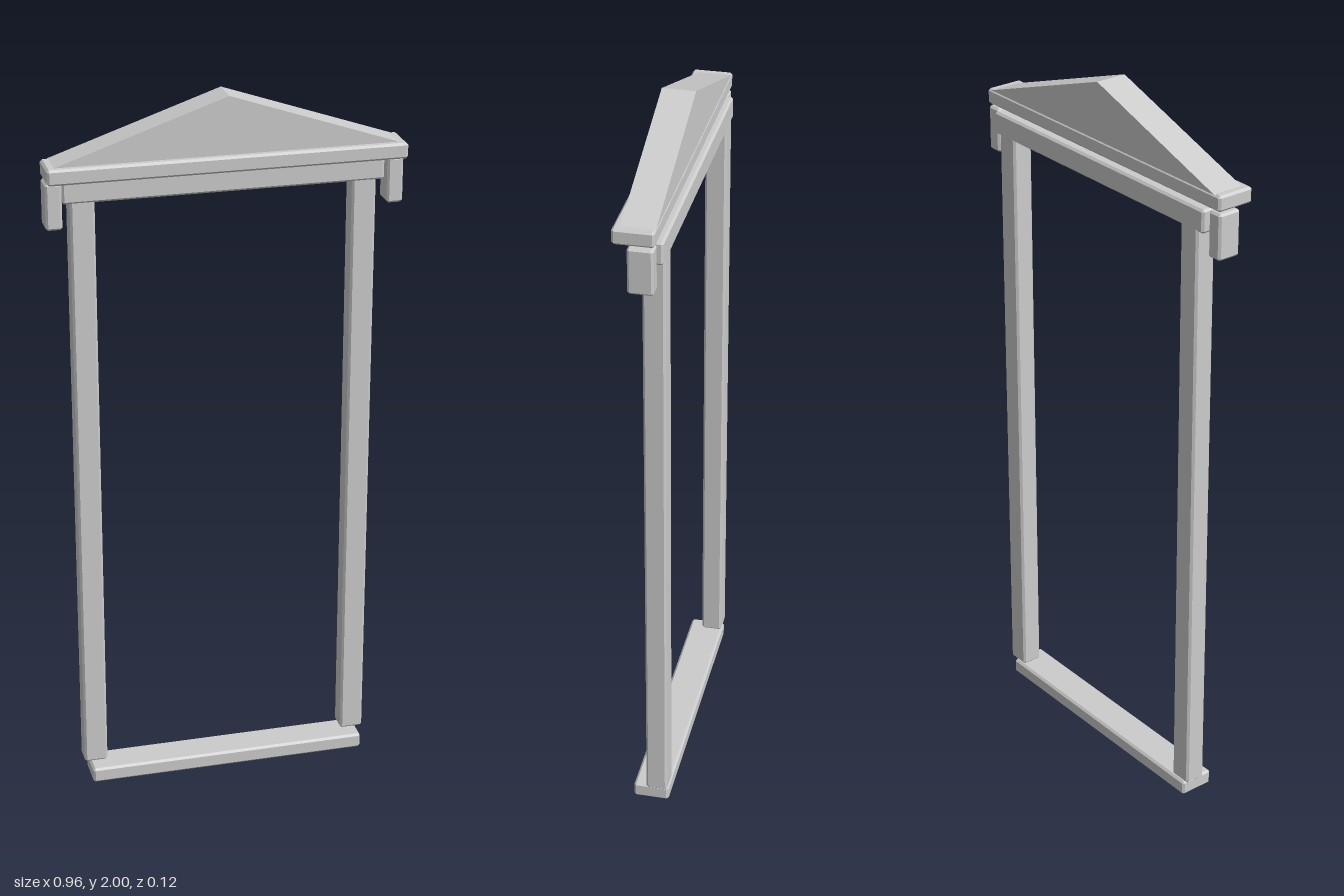
import * as THREE from 'three';
import { ConvexGeometry } from 'three/addons/geometries/ConvexGeometry.js';

const stone = new THREE.MeshStandardMaterial({ color: 0xcccccc });
stone.name = 'pale grey stone';

const CHAMFER = 0.006;

// Box with chamfered edges, given by its [min, max] range on each axis
function block(name, [x0, x1], [y0, y1], [z0, z1]) {
  const half = [(x1 - x0) / 2, (y1 - y0) / 2, (z1 - z0) / 2];
  const points = [];
  for (const sx of [-1, 1]) for (const sy of [-1, 1]) for (const sz of [-1, 1]) {
    const signs = [sx, sy, sz];
    // Each corner becomes three points, one on each adjoining face
    for (let face = 0; face < 3; face++) {
      const p = half.map((h, axis) => signs[axis] * (axis === face ? h : h - CHAMFER));
      points.push(new THREE.Vector3(...p));
    }
  }
  const mesh = new THREE.Mesh(new ConvexGeometry(points), stone);
  mesh.name = name;
  mesh.position.set((x0 + x1) / 2, (y0 + y1) / 2, (z0 + z1) / 2);
  return mesh;
}

export function createModel() {
  const group = new THREE.Group();
  group.name = 'windowFrame';

  // Horizontal members
  group.add(
    block('sill', [-0.398, 0.398], [0, 0.044], [-0.06, 0.039]),
    block('lintel', [-0.435, 0.435], [1.73, 1.794], [-0.06, 0.005]),
    block('cornice', [-0.482, 0.482], [1.8, 1.843], [-0.048, 0.06])
  );

  // Jambs, running up into the lintel, and the brackets under the cornice ends
  for (const [side, s] of [['left', 1], ['right', -1]]) {
    const span = (a, b) => (s > 0 ? [a, b] : [-b, -a]);
    group.add(
      block(side + 'Jamb', span(0.348, 0.414), [0.048, 1.76], [-0.0595, 0]),
      block(side + 'Bracket', span(0.438, 0.482), [1.668, 1.794], [-0.045, 0.022])
    );
  }

  // Solid triangular pediment
  const triangle = new THREE.Shape();
  triangle.moveTo(-0.463, 1.842);
  triangle.lineTo(0.463, 1.842);
  triangle.lineTo(0, 2);
  triangle.closePath();
  const pediment = new THREE.Mesh(
    new THREE.ExtrudeGeometry(triangle, { depth: 0.089, bevelEnabled: false }), stone);
  pediment.name = 'pediment';
  pediment.position.z = -0.048;
  group.add(pediment);

  return group;
}
